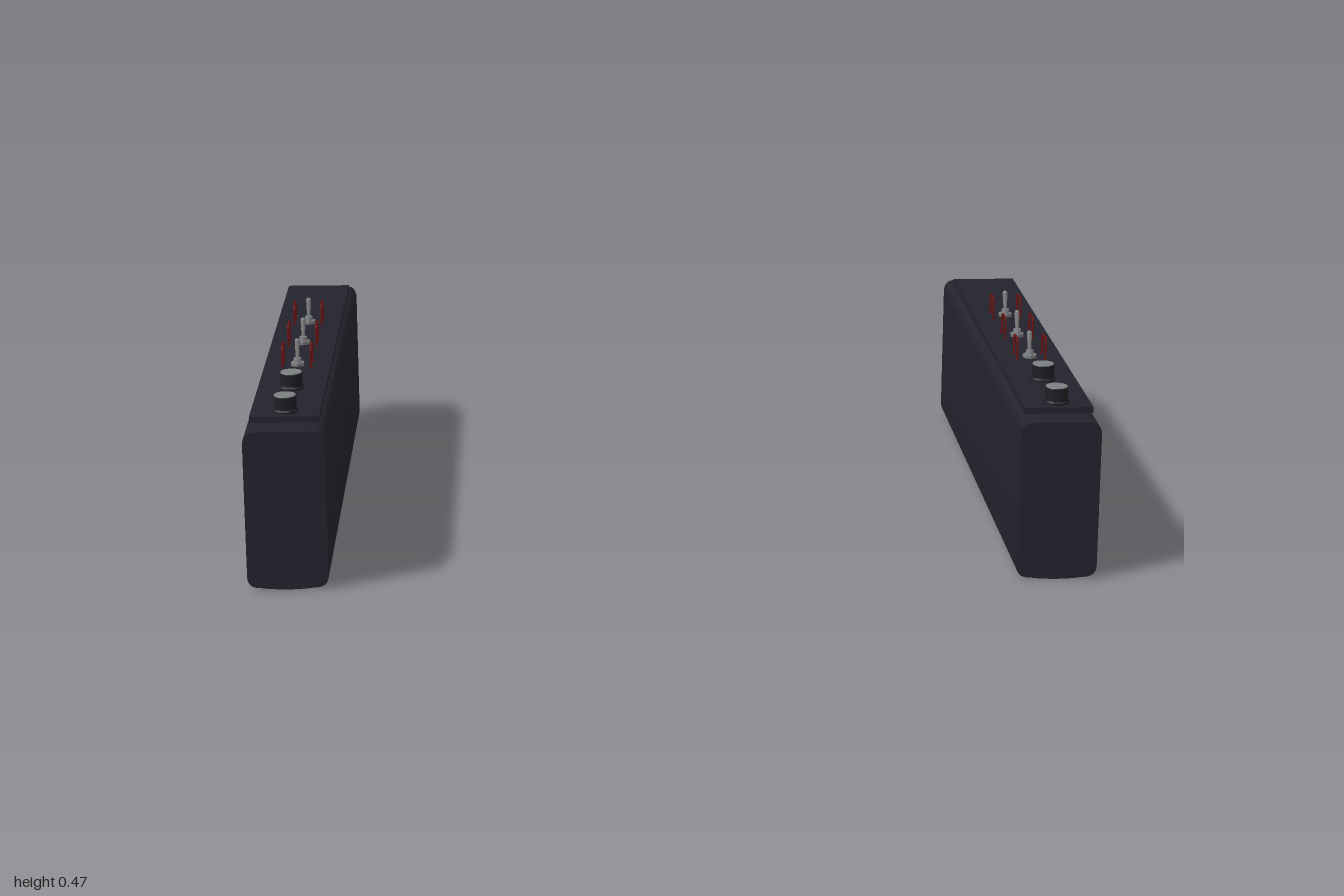
import * as THREE from 'three';
import { toCreasedNormals } from 'three/addons/utils/BufferGeometryUtils.js';

const mat = (name, color) => new THREE.MeshStandardMaterial({ name, color });

export function createModel() {
  const charcoal = mat('charcoal', 0x23232d);
  const knobBlack = mat('knob black', 0x1e1e24);
  const steel = mat('steel', 0x7c7f80);
  const darkRed = mat('dark red', 0x6a1414);

  const add = (parent, name, geometry, material, x = 0, y = 0, z = 0) => {
    const mesh = new THREE.Mesh(geometry, material);
    mesh.name = name;
    mesh.position.set(x, y, z);
    parent.add(mesh);
    return mesh;
  };

  // Long housing: rounded cross-section with flat ends
  const w = 0.095, h = 0.385, r = 0.032;
  const section = new THREE.Shape();
  section.moveTo(-w + r, 0.004);
  section.quadraticCurveTo(0, -0.004, w - r, 0.004);
  section.quadraticCurveTo(w, 0.004, w, r);
  section.lineTo(w, h - r);
  section.quadraticCurveTo(w, h, w - r, h);
  section.lineTo(-w + r, h);
  section.quadraticCurveTo(-w, h, -w, h - r);
  section.lineTo(-w, r);
  section.quadraticCurveTo(-w, 0.004, -w + r, 0.004);
  const housingGeo = toCreasedNormals(
    new THREE.ExtrudeGeometry(section, { depth: 1.4, bevelEnabled: false, curveSegments: 8 })
      .translate(0, 0, -0.7), 0.6);

  const plateGeo = new THREE.BoxGeometry(0.162, 0.015, 1.265);

  // Knob: flared foot, straight grip and a steel cap
  const knobGeo = toCreasedNormals(new THREE.LatheGeometry([
    [0.031, 0], [0.031, 0.004], [0.027, 0.008], [0.027, 0.038], [0.025, 0.04],
  ].map(p => new THREE.Vector2(...p)), 20), 0.6);
  const capGeo = new THREE.CylinderGeometry(0.025, 0.027, 0.004, 20);

  // Toggle switch pieces
  const nutGeo = toCreasedNormals(new THREE.CylinderGeometry(0.018, 0.018, 0.008, 6), 0.5);
  const collarGeo = new THREE.CylinderGeometry(0.009, 0.012, 0.014, 12);
  const leverGeo = new THREE.CylinderGeometry(0.0065, 0.004, 0.05, 10).translate(0, 0.025, 0);
  const tipGeo = new THREE.SphereGeometry(0.0065, 10, 8);

  // Wire guard: inverted U with rounded corners
  const wire = new THREE.CurvePath();
  const v = (y, z) => new THREE.Vector3(0, y, z);
  const top = 0.053, half = 0.028, bend = 0.012;
  wire.add(new THREE.LineCurve3(v(0, half), v(top - bend, half)));
  wire.add(new THREE.QuadraticBezierCurve3(v(top - bend, half), v(top, half), v(top, half - bend)));
  wire.add(new THREE.LineCurve3(v(top, half - bend), v(top, -half + bend)));
  wire.add(new THREE.QuadraticBezierCurve3(v(top, -half + bend), v(top, -half), v(top - bend, -half)));
  wire.add(new THREE.LineCurve3(v(top - bend, -half), v(0, -half)));
  const guardGeo = new THREE.TubeGeometry(wire, 40, 0.003, 6);

  const deck = 0.409;
  const makePanel = (name, x) => {
    const panel = new THREE.Group();
    panel.name = name;
    panel.position.x = x;
    add(panel, 'housing', housingGeo, charcoal);
    add(panel, 'topPlate', plateGeo, charcoal, 0, deck - 0.0075, 0.0225);

    for (const z of [0.61, 0.41]) {
      add(panel, 'knob', knobGeo, knobBlack, 0, deck, z);
      add(panel, 'knobCap', capGeo, steel, 0, deck + 0.039, z);
    }

    for (const z of [0.205, 0, -0.205]) {
      const toggle = new THREE.Group();
      toggle.name = 'toggleSwitch';
      toggle.position.set(0, deck, z);
      add(toggle, 'nut', nutGeo, steel, 0, 0.004, 0);
      add(toggle, 'collar', collarGeo, steel, 0, 0.012, 0);
      const lever = add(toggle, 'lever', leverGeo, steel, 0, 0.01, 0);
      lever.rotation.x = -0.27;
      add(lever, 'leverTip', tipGeo, steel, 0, 0.05, 0);
      for (const side of [-1, 1]) add(toggle, 'guard', guardGeo, darkRed, side * 0.035, 0, 0);
      panel.add(toggle);
    }
    return panel;
  };

  const model = new THREE.Group();
  model.name = 'switchPanels';
  model.add(makePanel('leftPanel', 0.905), makePanel('rightPanel', -0.905));
  return model;
}
